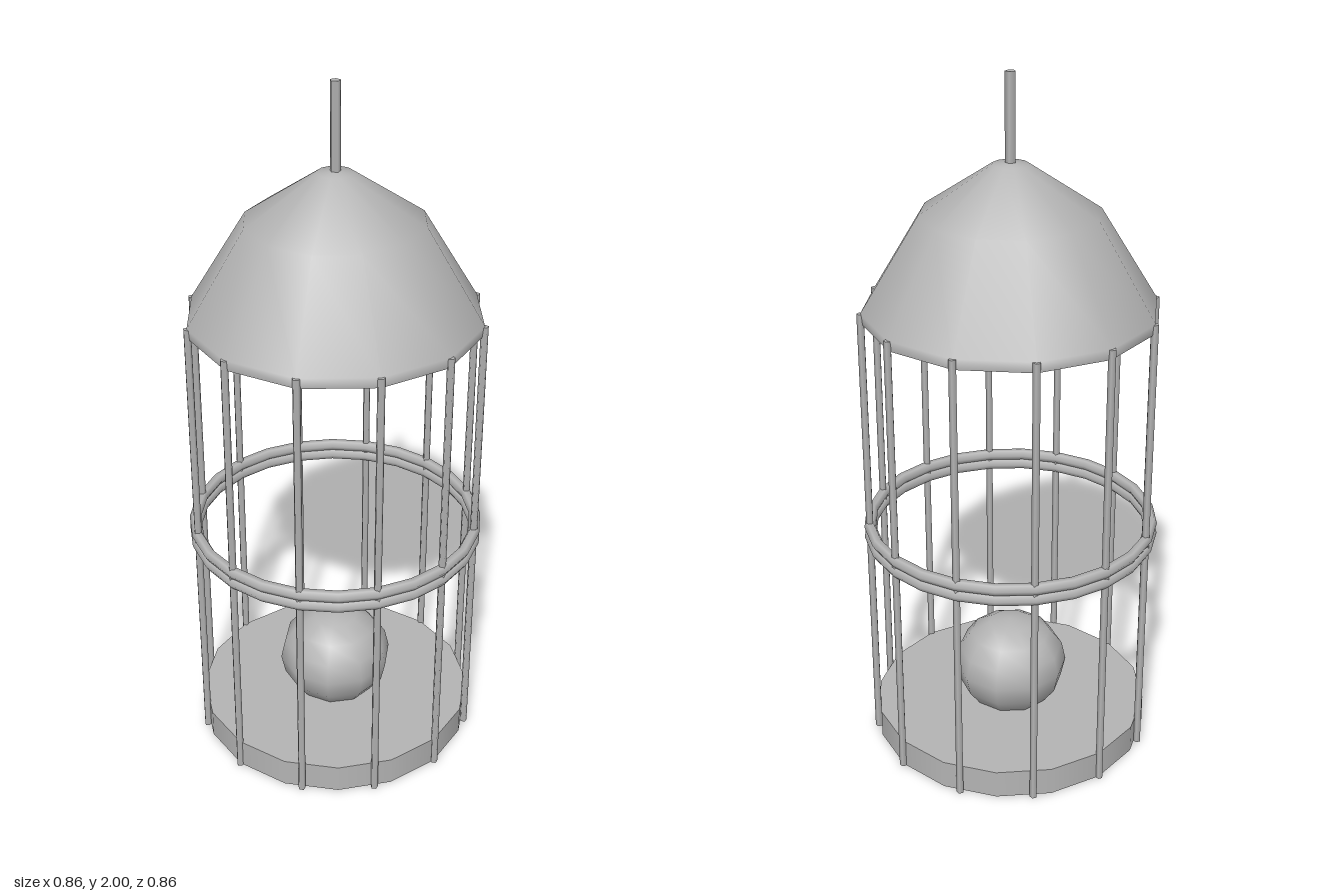
import * as THREE from 'three';

export function createModel() {
  const model = new THREE.Group();
  model.name = 'birdCage';
  const grey = new THREE.MeshStandardMaterial({ color: 0xb4b4b4, side: THREE.DoubleSide });
  grey.name = 'grey metal';

  const add = (name, geometry, x = 0, y = 0, z = 0) => {
    const mesh = new THREE.Mesh(geometry, grey);
    mesh.name = name;
    mesh.position.set(x, y, z);
    model.add(mesh);
    return mesh;
  };

  const cageRadius = 0.412;

  // Floor tray
  add('floor', new THREE.CylinderGeometry(0.41, 0.41, 0.085, 16), 0, 0.0425, 0);

  // Ball resting on the floor
  const ball = add('ball', new THREE.SphereGeometry(0.17, 10, 8), 0, 0.195, 0);
  ball.scale.y = 0.89;
  ball.rotation.y = Math.PI / 2;

  // Upright bars around the floor
  const barGeometry = new THREE.CylinderGeometry(0.011, 0.011, 1.36, 5);
  for (let i = 0; i < 12; i++) {
    const a = (i / 12) * Math.PI * 2;
    add('bar', barGeometry, Math.sin(a) * cageRadius, 0.68, Math.cos(a) * cageRadius);
  }

  // Pair of hoops at mid height
  const hoopGeometry = new THREE.TorusGeometry(cageRadius, 0.017, 6, 24);
  for (const y of [0.668, 0.7]) {
    add('hoop', hoopGeometry, 0, y, 0).rotation.x = Math.PI / 2;
  }

  // Open domed roof, profile listed from the rim up
  const profile = [[0.41, 1.33], [0.413, 1.36], [0.25, 1.625], [0.05, 1.757], [0, 1.762]]
    .map(([r, y]) => new THREE.Vector2(r, y));
  add('roof', new THREE.LatheGeometry(profile, 12));

  // Hanging rod
  add('hangingRod', new THREE.CylinderGeometry(0.015, 0.015, 0.26, 5), 0, 1.87, 0);

  return model;
}
